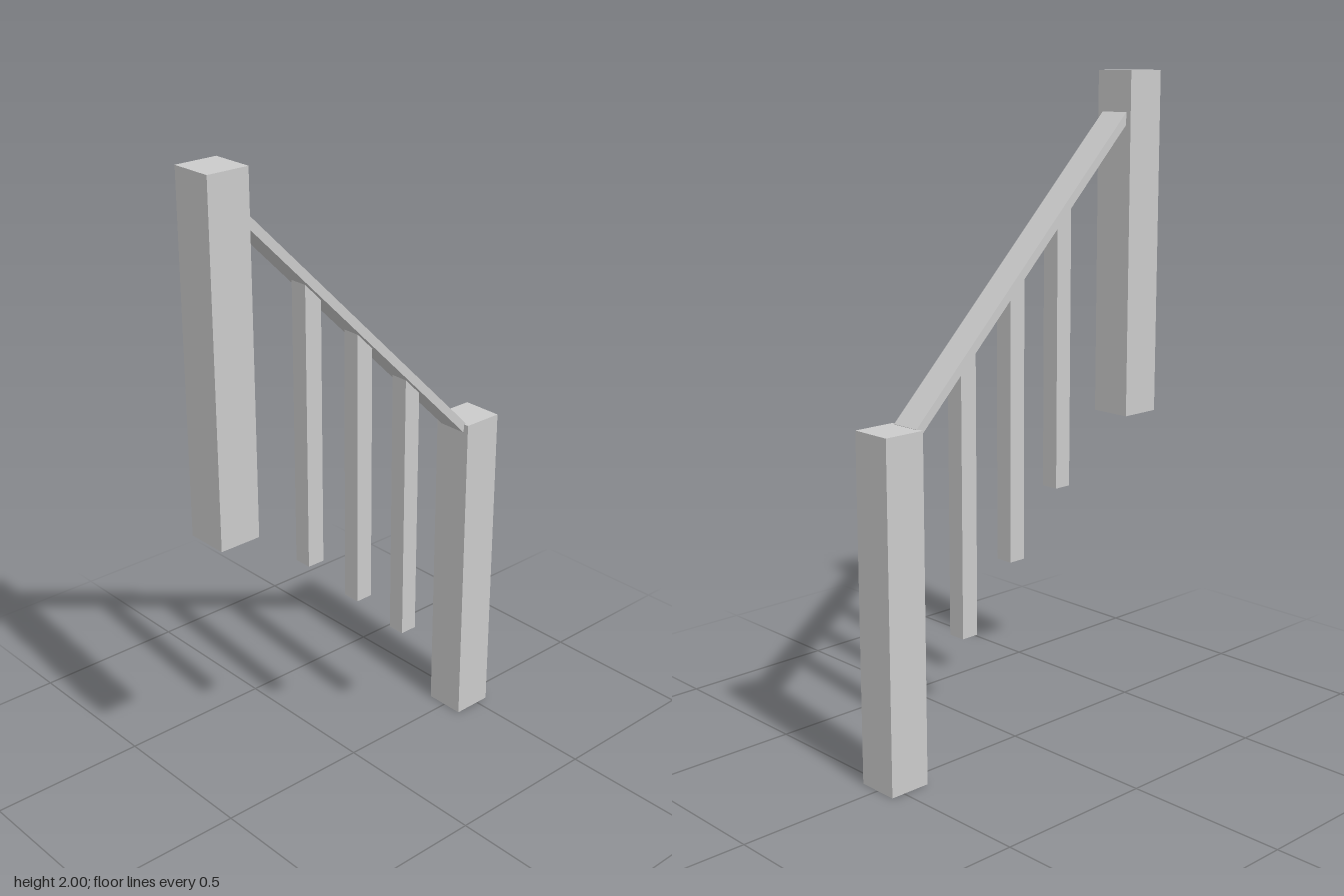
import * as THREE from 'three';

const material = new THREE.MeshStandardMaterial({ color: 0xcccccc, flatShading: true, side: THREE.DoubleSide });

// Height of the 45 degree handrail's top and underside at a given z
const railTop = (z) => z + 1.466;
const railUnder = (z) => z + 1.429;

// Box between z0 and z1 whose top and bottom heights are functions of z
function slopedBox(name, width, z0, z1, bottom, top, openFaces = []) {
  const geometry = new THREE.BoxGeometry(width, 1, z1 - z0);
  const p = geometry.attributes.position;
  for (let i = 0; i < p.count; i++) {
    const z = p.getZ(i) + (z0 + z1) / 2;
    p.setXYZ(i, p.getX(i), p.getY(i) > 0 ? top(z) : bottom(z), z);
  }
  // Box faces are ordered +x, -x, +y, -y, +z, -z with six indices each
  const index = Array.from(geometry.index.array);
  geometry.setIndex(index.filter((_, i) => !openFaces.includes(Math.floor(i / 6))));
  geometry.computeVertexNormals();
  const mesh = new THREE.Mesh(geometry, material);
  mesh.name = name;
  return mesh;
}

export function createModel() {
  const group = new THREE.Group();
  group.name = 'stairRailing';
  const TOP = 2, BOTTOM = 3;

  // Newel posts, hollow at the foot
  const inner = 0.412, outer = 0.543, postWidth = 0.131;
  group.add(slopedBox('upperPost', postWidth, inner, outer, () => 0.955, () => 2, [BOTTOM]));
  group.add(slopedBox('lowerPost', postWidth, -outer, -inner, () => 0, () => 1.045, [BOTTOM]));

  // Flat handrail running between the posts
  group.add(slopedBox('handrail', 0.096, -0.42, inner + 0.005, railUnder, railTop));

  // Balusters stepping down with the stairs, open at both ends
  for (let i = 0; i < 3; i++) {
    const z = 0.173 - i * 0.191;
    const foot = 0.767 - i * 0.191;
    group.add(slopedBox('baluster' + (i + 1), 0.056, z - 0.028, z + 0.028, () => foot, railUnder, [TOP, BOTTOM]));
  }
  return group;
}
